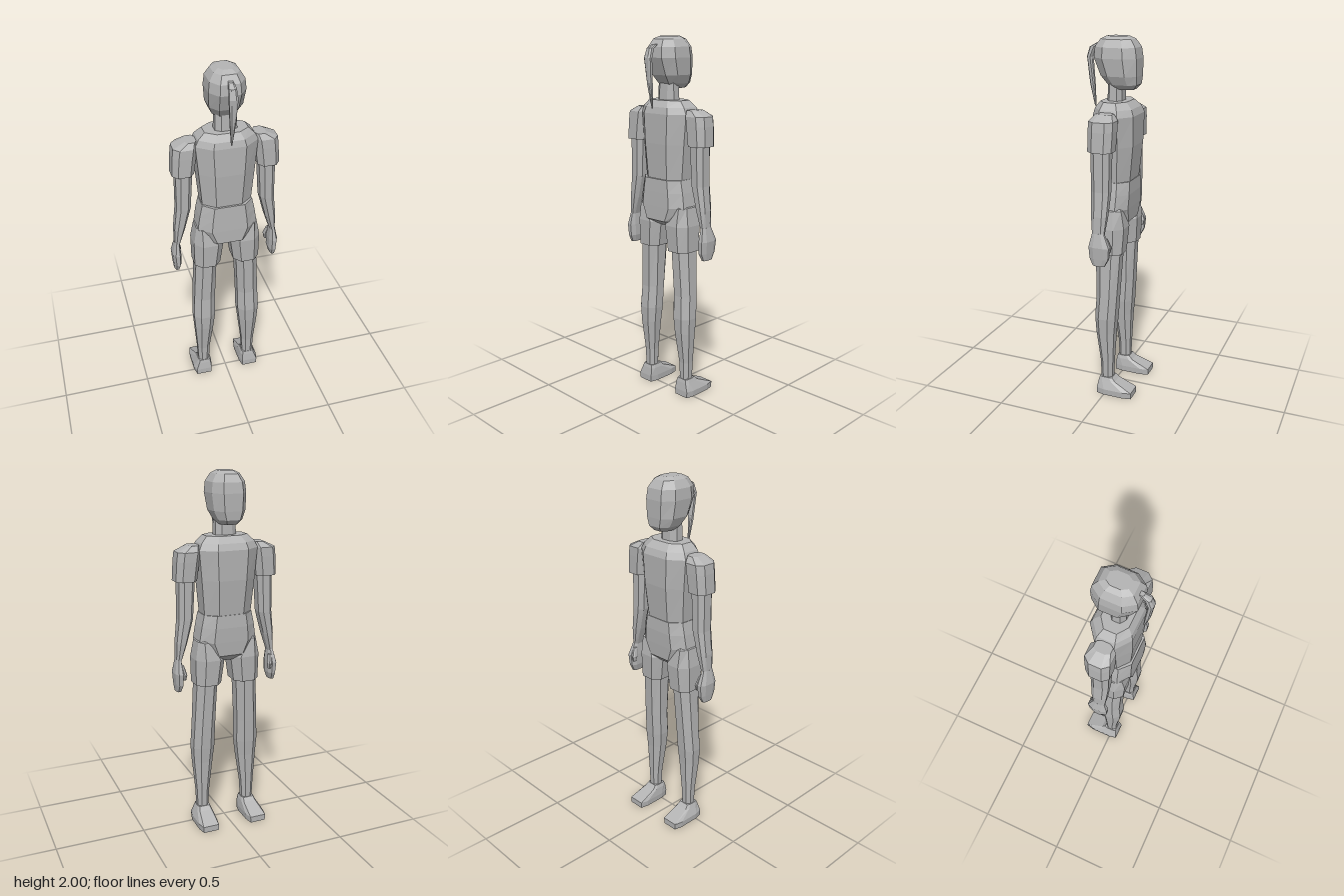
import * as THREE from 'three';

const grey = new THREE.MeshStandardMaterial({ color: 0xb4b4b4, flatShading: true });
grey.name = 'plain grey';

// Stacked eight-sided rings, bottom to top: [y, xMin, xMax, zMin, zMax].
// fx and fz are the flat fractions of the sides; side -1 mirrors in x.
function loft(name, rings, fx = 0.5, fz = 0.5, side = 1) {
  const pos = [], index = [];
  const corners = [[1, fz], [1, -fz], [fx, -1], [-fx, -1], [-1, -fz], [-1, fz], [-fx, 1], [fx, 1]];
  for (const [y, x0, x1, z0, z1] of rings) {
    const cx = side * (x0 + x1) / 2, cz = (z0 + z1) / 2;
    for (const [u, w] of corners) pos.push(cx + u * (x1 - x0) / 2, y, cz + w * (z1 - z0) / 2);
  }
  for (let r = 0; r < rings.length - 1; r++) {
    for (let j = 0; j < 8; j++) {
      const a = r * 8 + j, b = r * 8 + (j + 1) % 8;
      index.push(a, b, b + 8, a, b + 8, a + 8);
    }
  }
  // end caps
  const top = (rings.length - 1) * 8;
  for (let j = 1; j < 7; j++) index.push(0, j + 1, j, top, top + j, top + j + 1);
  const g = new THREE.BufferGeometry();
  g.setAttribute('position', new THREE.Float32BufferAttribute(pos, 3));
  g.setIndex(index);
  const flat = g.toNonIndexed();
  flat.computeVertexNormals();
  const mesh = new THREE.Mesh(flat, grey);
  mesh.name = name;
  return mesh;
}

// Ring centred on x = 0
const mid = (y, hx, z0, z1) => [y, -hx, hx, z0, z1];

export function createModel() {
  const model = new THREE.Group();
  model.name = 'figure';

  model.add(
    loft('head', [
      mid(1.73, 0.045, -0.105, 0.01), mid(1.755, 0.068, -0.127, 0.035), mid(1.80, 0.088, -0.13, 0.07),
      mid(1.89, 0.096, -0.13, 0.105), mid(1.945, 0.09, -0.122, 0.1), mid(1.985, 0.066, -0.095, 0.075),
      mid(2.0, 0.04, -0.065, 0.045),
    ], 0.56, 0.48),
    loft('ponytail', [
      mid(1.63, 0.003, 0.115, 0.123), mid(1.75, 0.014, 0.122, 0.148), mid(1.89, 0.023, 0.134, 0.162),
      mid(1.94, 0.019, 0.113, 0.147), mid(1.96, 0.012, 0.08, 0.112),
    ]),
    loft('neck', [mid(1.64, 0.06, -0.045, 0.04), mid(1.78, 0.055, -0.04, 0.035)]),
    loft('torso', [
      mid(1.25, 0.135, -0.105, 0.085), mid(1.44, 0.152, -0.124, 0.097), mid(1.6, 0.166, -0.128, 0.098),
      mid(1.635, 0.15, -0.115, 0.09), mid(1.67, 0.115, -0.08, 0.066),
    ], 0.52, 0.46),
    loft('pelvis', [
      mid(0.985, 0.05, -0.06, 0.04), mid(1.022, 0.115, -0.1, 0.1), mid(1.1, 0.165, -0.106, 0.1),
      mid(1.18, 0.153, -0.11, 0.098), mid(1.25, 0.138, -0.108, 0.096),
    ], 0.6, 0.5),
  );

  for (const side of [1, -1]) {
    const label = side === 1 ? 'left' : 'right';
    const add = (part, rings, fx, fz) => model.add(loft(label + part, rings, fx, fz, side));

    add('Sleeve', [
      [1.44, 0.172, 0.29, -0.076, 0.055], [1.545, 0.158, 0.284, -0.08, 0.055],
      [1.595, 0.15, 0.278, -0.08, 0.054], [1.625, 0.155, 0.215, -0.055, 0.035],
    ], 0.55, 0.5);
    add('Arm', [
      [0.995, 0.262, 0.288, -0.04, 0.025], [1.1, 0.228, 0.286, -0.052, 0.034],
      [1.23, 0.194, 0.272, -0.058, 0.04], [1.46, 0.18, 0.27, -0.06, 0.045],
    ], 0.5, 0.5);
    add('Hand', [
      [0.83, 0.266, 0.294, -0.045, 0.02], [0.87, 0.256, 0.298, -0.066, 0.038],
      [0.935, 0.256, 0.303, -0.072, 0.042], [1.01, 0.262, 0.288, -0.04, 0.025],
    ], 0.5, 0.5);
    add('Thumb', [
      [0.9, 0.248, 0.262, -0.066, -0.045], [0.93, 0.243, 0.265, -0.074, -0.04],
      [0.98, 0.255, 0.272, -0.055, -0.028],
    ], 0.5, 0.5);

    add('ShortsLeg', [
      [0.855, 0.038, 0.185, -0.09, 0.077], [1.0, 0.018, 0.187, -0.1, 0.085],
      [1.1, 0.075, 0.17, -0.085, 0.07], [1.13, 0.11, 0.135, -0.05, 0.04],
    ], 0.5, 0.5);
    add('Leg', [
      [0.08, 0.108, 0.171, -0.036, 0.03], [0.2, 0.102, 0.176, -0.04, 0.034],
      [0.38, 0.08, 0.19, -0.048, 0.058], [0.47, 0.07, 0.196, -0.056, 0.064],
      [0.6, 0.068, 0.19, -0.064, 0.056], [0.88, 0.056, 0.176, -0.08, 0.065],
    ], 0.45, 0.45);
    add('Foot', [
      [0, 0.092, 0.201, -0.163, 0.045], [0.035, 0.09, 0.203, -0.163, 0.045],
      [0.08, 0.096, 0.184, -0.06, 0.038], [0.1, 0.103, 0.176, -0.04, 0.033],
    ], 0.82, 0.55);
  }
  return model;
}
